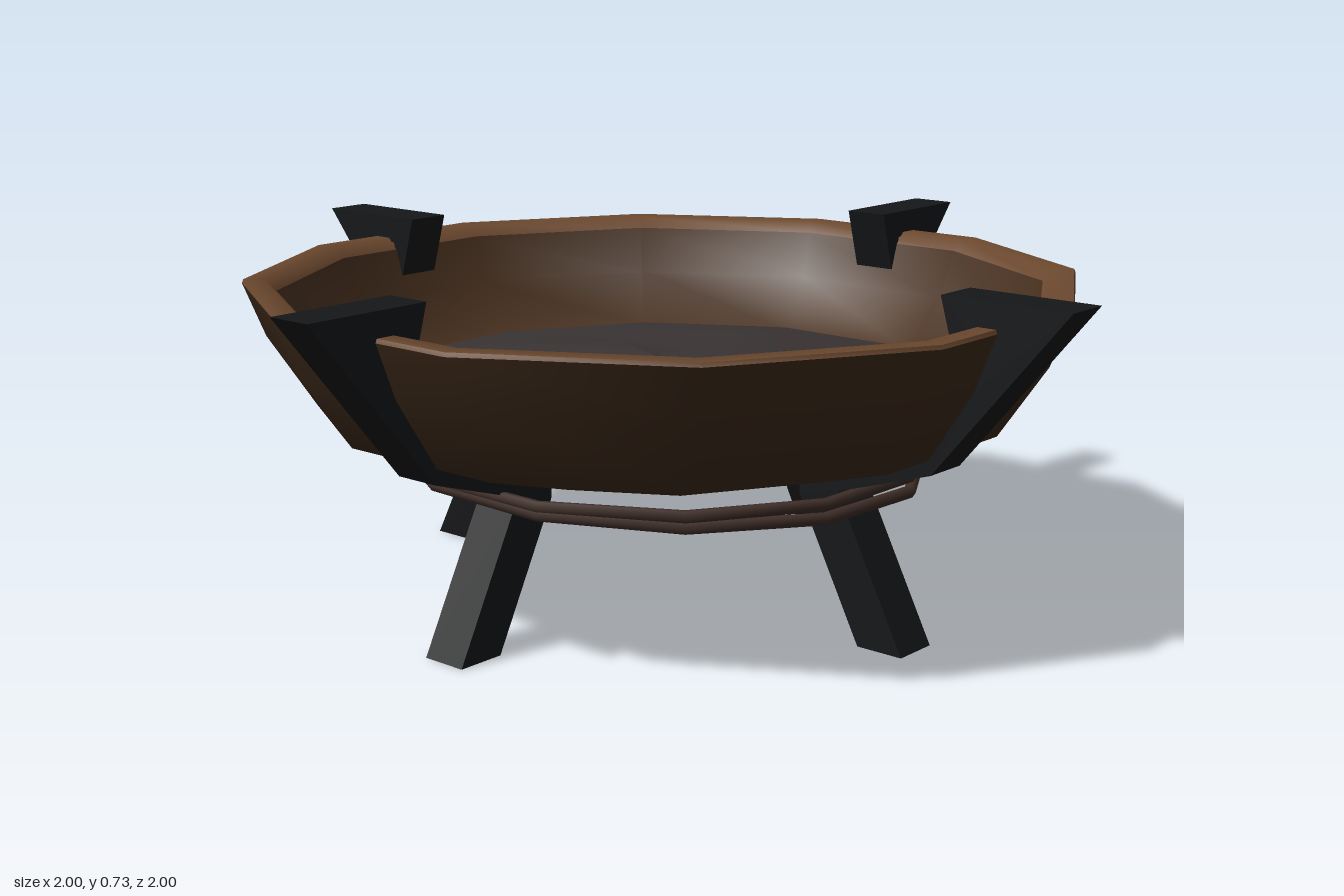
import * as THREE from 'three';
import { toCreasedNormals } from 'three/addons/utils/BufferGeometryUtils.js';

const SIDES = 12;
const mat = (color) => new THREE.MeshStandardMaterial({ color });

function add(parent, name, geometry, material) {
  const mesh = new THREE.Mesh(geometry, material);
  mesh.name = name;
  parent.add(mesh);
  return mesh;
}

// Twelve-sided lathe with flats facing the axes
const lathe = (profile) =>
  new THREE.LatheGeometry(profile.map(([r, y]) => new THREE.Vector2(r, y)), SIDES, Math.PI / 12);

export function createModel() {
  const model = new THREE.Group();
  model.name = 'firePit';
  const iron = mat(0x161719);
  const wire = mat(0x3f2e28);

  // Bowl: outer shell, bevelled rim and inner wall
  const bowl = new THREE.Group();
  bowl.name = 'bowl';
  model.add(bowl);
  add(bowl, 'bowlOutside', lathe([[0, 0.32], [0.43, 0.32], [0.73, 0.41], [0.83, 0.56], [0.875, 0.672]]), mat(0x3d2a1a));
  add(bowl, 'bowlRim', toCreasedNormals(lathe([[0.875, 0.672], [0.872, 0.68], [0.83, 0.68], [0.805, 0.655]]), 0.9), mat(0x6b482e));
  add(bowl, 'bowlInside', lathe([[0.805, 0.655], [0.77, 0.55], [0.685, 0.43], [0.42, 0.36], [0, 0.36]]), mat(0x4a3220));

  // Ash bed: shallow mound with four swirling ridges
  const ash = lathe([[0.667, 0.445], [0.5, 0.464], [0.34, 0.48], [0.17, 0.492], [0, 0.498]]);
  const p = ash.attributes.position;
  for (let i = 0; i < p.count; i++) {
    const r = Math.hypot(p.getX(i), p.getZ(i));
    const a = Math.atan2(p.getZ(i), p.getX(i));
    const fade = Math.sin(Math.PI * Math.min(1, r / 0.667));
    p.setY(i, p.getY(i) + 0.02 * fade * Math.sin(4 * a + 5 * r));
  }
  ash.computeVertexNormals();
  add(model, 'ashBed', ash, mat(0x393433));

  // Legs: hook over the rim, arm hugging the bowl, splayed foot
  const outline = [
    [1, 0.73], [0.71, 0.38], [0.495, 0.31], [0.655, 0], [0.55, 0], [0.4, 0.29], [0.4, 0.325],
    [0.69, 0.42], [0.8, 0.56], [0.84, 0.68], [0.785, 0.67], [0.762, 0.585], [0.72, 0.73],
  ];
  const shape = new THREE.Shape(outline.map(([x, y]) => new THREE.Vector2(x, y)));
  const legGeometry = new THREE.ExtrudeGeometry(shape, { depth: 0.1, bevelEnabled: false });
  legGeometry.translate(0, 0, -0.05);
  ['left', 'back', 'right', 'front'].forEach((side, i) => {
    add(model, side + 'Leg', legGeometry, iron).rotation.y = i * Math.PI / 2;
  });

  // Two tilted wire hoops binding the legs, spreading apart towards the back left
  [[0.314, 0.008], [0.292, 0.025]].forEach(([y, tilt], i) => {
    const hoop = new THREE.TorusGeometry(0.553, 0.013, 6, SIDES);
    hoop.rotateX(Math.PI / 2);
    hoop.rotateY(Math.PI / 12);
    const mesh = add(model, 'wireHoop' + (i + 1), hoop, wire);
    mesh.position.y = y;
    mesh.rotation.set(-tilt, 0, -tilt);
  });

  return model;
}
